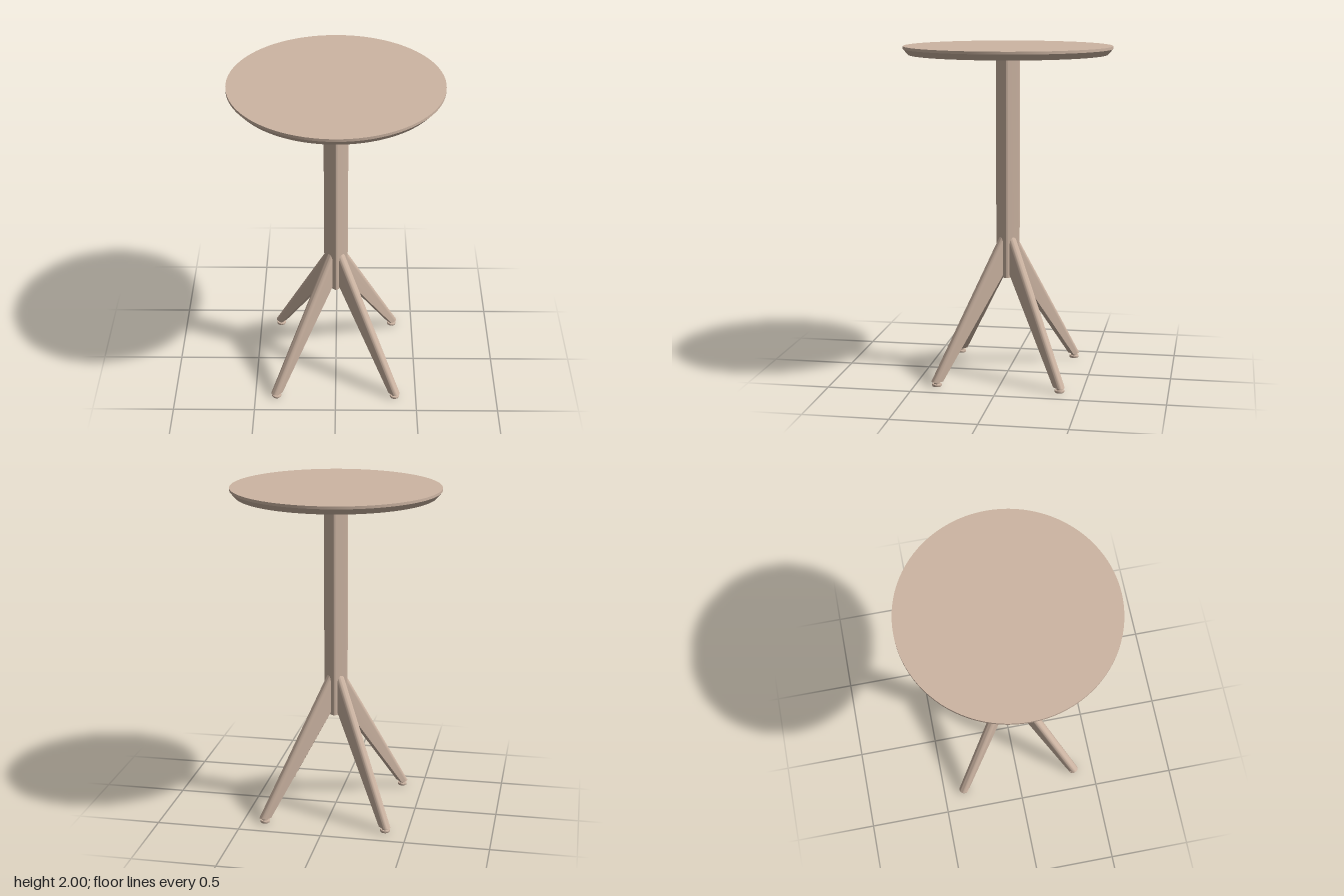
import * as THREE from 'three';
import { toCreasedNormals } from 'three/addons/utils/BufferGeometryUtils.js';

const CREASE = 0.45;

// Revolved solid from [radius, y] points listed bottom to top
function lathe(points, segments) {
  const geo = new THREE.LatheGeometry(points.map(([r, y]) => new THREE.Vector2(r, y)), segments);
  return toCreasedNormals(geo, CREASE);
}

// Square post with rounded vertical corners
function postGeometry(half, r, y0, y1) {
  const s = new THREE.Shape(), k = half - r;
  s.absarc(k, k, r, 0, Math.PI / 2);
  s.absarc(-k, k, r, Math.PI / 2, Math.PI);
  s.absarc(-k, -k, r, Math.PI, Math.PI * 1.5);
  s.absarc(k, -k, r, Math.PI * 1.5, Math.PI * 2);
  const geo = new THREE.ExtrudeGeometry(s, { depth: y1 - y0, bevelEnabled: false, curveSegments: 8 });
  geo.rotateX(-Math.PI / 2).translate(0, y0, 0);
  return toCreasedNormals(geo, CREASE);
}

// Leg along +x: flat underside and sides, rounded upper edge
function legGeometry() {
  const w = 0.0275, r = 0.025, steps = 8;
  // Each end runs from the outer ridge to the underside; arc is the depth of the rounding
  const ends = [
    { outer: [0.05, 0.859], inner: [0.05, 0.628], arc: 0.046 },
    { outer: [0.554, 0.028], inner: [0.494, 0.028], arc: 0.029 },
  ];
  const section = ({ outer, inner, arc }) => {
    const dx = inner[0] - outer[0], dy = inner[1] - outer[1], len = Math.hypot(dx, dy);
    const at = (d, z) => new THREE.Vector3(outer[0] + dx * d / len, outer[1] + dy * d / len, z);
    const ring = [at(len, -w)];
    for (const side of [-1, 1]) {
      for (let i = 0; i <= steps; i++) {
        const a = (side < 0 ? i : steps - i) / steps * Math.PI / 2;
        ring.push(at(arc * (1 - Math.sin(a)), side * (w - r + r * Math.cos(a))));
      }
    }
    ring.push(at(len, w));
    return ring;
  };
  const [top, foot] = ends.map(section), n = top.length, pos = [];
  const tri = (a, b, c) => pos.push(...a, ...b, ...c);
  for (let i = 0; i < n; i++) {
    const j = (i + 1) % n;
    tri(top[i], top[j], foot[i]);
    tri(top[j], foot[j], foot[i]);
  }
  for (let i = 1; i < n - 1; i++) {
    tri(foot[0], foot[i], foot[i + 1]);
    tri(top[0], top[i + 1], top[i]);
  }
  // Keep the faces turned outwards
  const geo = new THREE.BufferGeometry();
  geo.setAttribute('position', new THREE.Float32BufferAttribute(pos, 3));
  let volume = 0;
  const a = new THREE.Vector3(), b = new THREE.Vector3(), c = new THREE.Vector3();
  for (let i = 0; i < pos.length; i += 9) {
    volume += a.fromArray(pos, i).dot(b.fromArray(pos, i + 3).cross(c.fromArray(pos, i + 6)));
  }
  if (volume < 0) {
    for (let i = 0; i < pos.length; i += 9) {
      const second = pos.slice(i + 3, i + 6), third = pos.slice(i + 6, i + 9);
      pos.splice(i + 3, 6, ...third, ...second);
    }
    geo.setAttribute('position', new THREE.Float32BufferAttribute(pos, 3));
  }
  return toCreasedNormals(geo, CREASE);
}

export function createModel() {
  const model = new THREE.Group();
  model.name = 'pedestalTable';
  const wood = new THREE.MeshStandardMaterial({ color: 0xcdb5a3 });
  wood.name = 'paleWood';
  const add = (parent, geo, name) => {
    const mesh = new THREE.Mesh(geo, wood);
    mesh.name = name;
    parent.add(mesh);
    return mesh;
  };

  // Round top with a bevelled underside
  add(model, lathe([[0, 1.95], [0.592, 1.95], [0.622, 1.984], [0.622, 2], [0, 2]], 96), 'tableTop');

  // Column with its corners towards the front, back and sides
  add(model, postGeometry(0.0555, 0.0157, 0.605, 1.95), 'column').rotation.y = Math.PI / 4;

  // Four splayed legs on the column faces, each with a levelling pad
  const leg = legGeometry();
  const pad = lathe([[0, 0], [0.027, 0], [0.029, 0.004], [0.029, 0.012], [0.027, 0.015],
    [0.018, 0.015], [0.018, 0.03], [0, 0.03]], 24);
  for (let i = 0; i < 4; i++) {
    const group = new THREE.Group();
    group.name = 'legAssembly' + (i + 1);
    group.rotation.y = Math.PI / 4 + i * Math.PI / 2;
    add(group, leg, 'leg');
    add(group, pad, 'footPad').position.x = 0.52;
    model.add(group);
  }
  return model;
}
